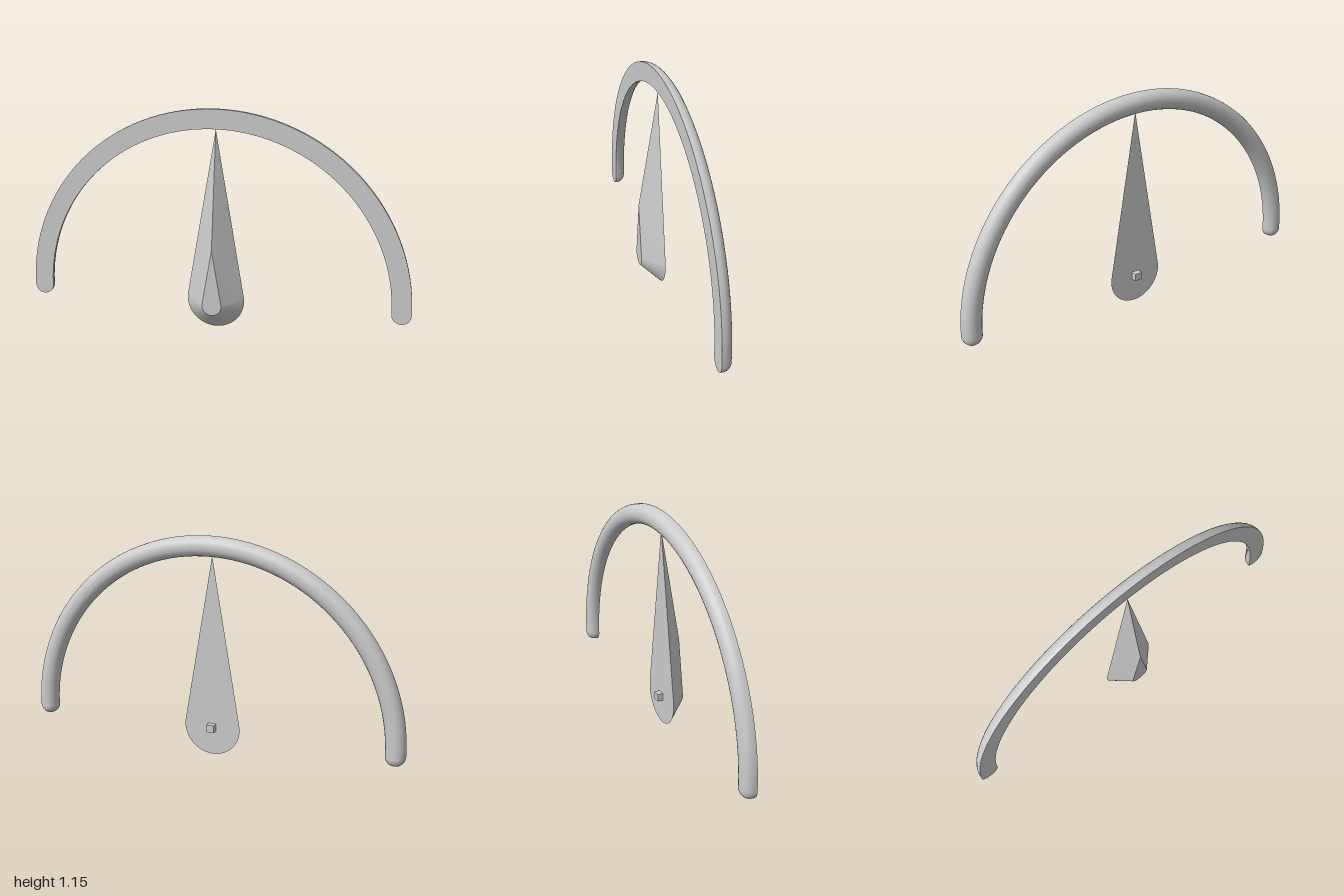
import * as THREE from 'three';
import { toCreasedNormals } from 'three/addons/utils/BufferGeometryUtils.js';

const PIVOT_Y = 0.15;

// Skins a stack of matching counter-clockwise rings, ordered back to front
function loft(rings) {
  const pos = [];
  const tri = new THREE.Triangle();
  const add = (a, b, c) => {
    if (tri.set(a, b, c).getArea() > 1e-9) for (const p of [a, b, c]) pos.push(p.x, p.y, p.z);
  };
  for (let k = 0; k < rings.length - 1; k++) {
    const lo = rings[k], hi = rings[k + 1], n = lo.length;
    for (let i = 0; i < n; i++) {
      const j = (i + 1) % n;
      add(lo[i], lo[j], hi[j]);
      add(lo[i], hi[j], hi[i]);
    }
  }
  const geometry = new THREE.BufferGeometry();
  geometry.setAttribute('position', new THREE.Float32BufferAttribute(pos, 3));
  return toCreasedNormals(geometry, 0.6);
}

function arcPoints(cx, radius, from, to, steps, z) {
  return Array.from({ length: steps + 1 }, (_, i) => {
    const a = from + (to - from) * i / steps;
    return new THREE.Vector3(cx + radius * Math.cos(a), PIVOT_Y + radius * Math.sin(a), z);
  });
}

// Half-circle band with round ends and half-width w
function bandRing(w, z) {
  const R = 0.95, PI = Math.PI;
  return [
    ...arcPoints(0, R + w, 0, PI, 64, z),
    ...arcPoints(-R, w, PI, 2 * PI, 16, z),
    ...arcPoints(0, R - w, PI, 0, 64, z),
    ...arcPoints(R, w, PI, 2 * PI, 16, z),
  ];
}

// Teardrop: round bottom with tangent sides meeting at a tip
function needleRing(scale, z) {
  const t = Math.asin(0.15 / 0.9);
  return [
    new THREE.Vector3(0, PIVOT_Y + 0.9 * scale, z),
    ...arcPoints(0, 0.15 * scale, Math.PI - t, 2 * Math.PI + t, 40, z),
  ];
}

export function createModel() {
  const group = new THREE.Group();
  const material = new THREE.MeshStandardMaterial({ color: 0xcccccc });
  const addPart = (name, geometry) => {
    const mesh = new THREE.Mesh(geometry, material);
    mesh.name = name;
    group.add(mesh);
    return mesh;
  };

  // Dial arch: flat front, rounded back
  const r = 0.047, steps = 6;
  const rings = [bandRing(0, -0.08)];
  for (let i = 0; i <= steps; i++) {
    const a = (i / steps) * Math.PI / 2;
    rings.push(bandRing(0.05 - r + r * Math.sin(a), -0.08 + r - r * Math.cos(a)));
  }
  rings.push(bandRing(0.05, -0.02), bandRing(0, -0.02));
  addPart('dialArch', loft(rings));

  // Needle: wide flat back, bevelled to a small front face
  addPart('needle', loft([
    needleRing(0, -0.02), needleRing(1, -0.02), needleRing(1 / 3, 0.08), needleRing(0, 0.08),
  ]));

  // Square pivot peg on the back of the needle
  addPart('pivotPeg', new THREE.BoxGeometry(0.04, 0.04, 0.04)).position.set(0, PIVOT_Y, -0.03);

  return group;
}
